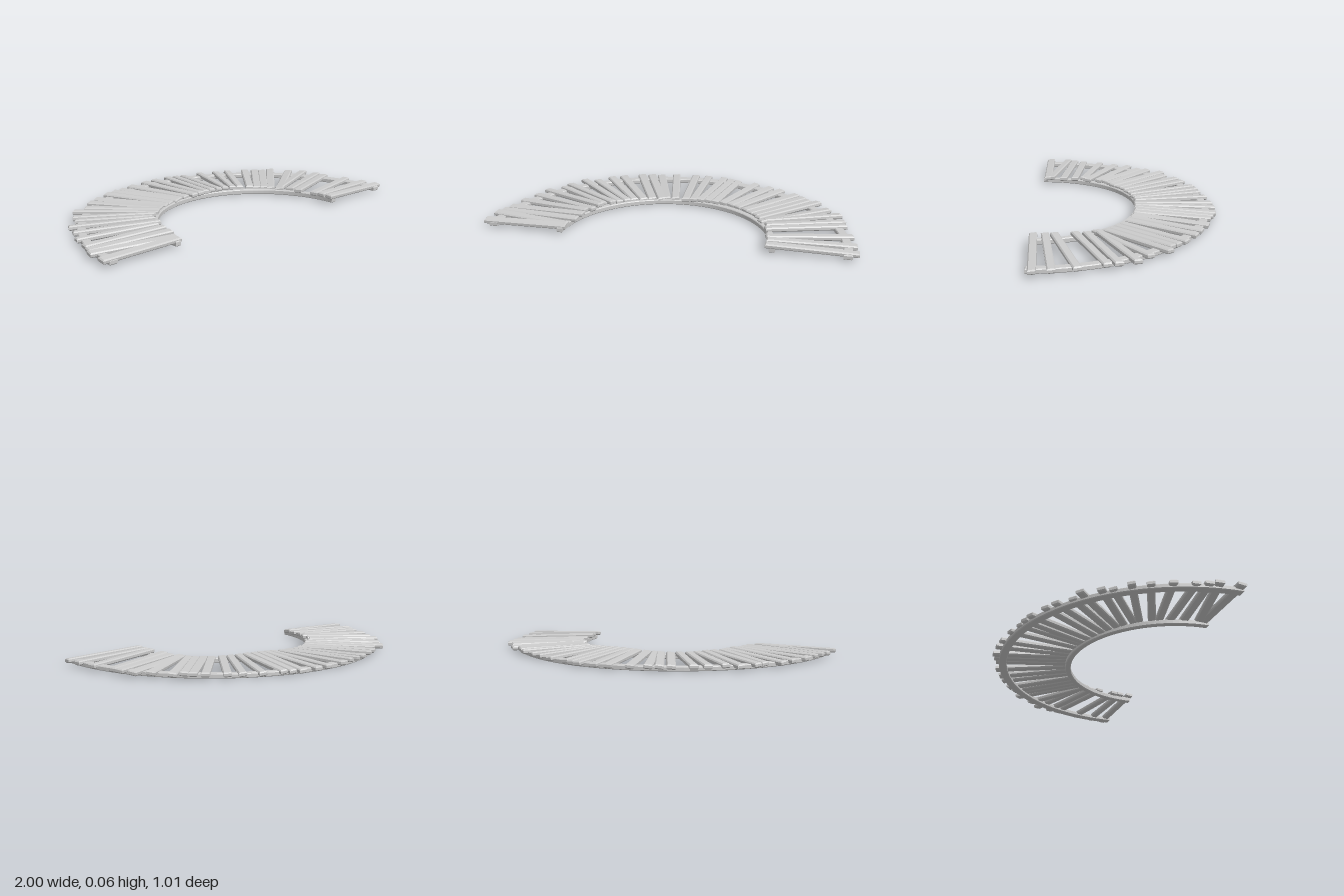
import * as THREE from 'three';

const material = new THREE.MeshStandardMaterial({ color: 0xcccccc, flatShading: true });
const CENTRE_Z = 0.495;

// Plank ends: outer x, z, inner x, z (hundredths of a unit)
const PLANKS = [
  [-100, 47, -54, 46.5], [-99, 35.5, -54, 45], [-97, 31, -51, 37], [-95, 25, -50, 30],
  [-92.5, 14, -50, 24.5], [-88, 4, -46.5, 22], [-85, -5, -45, 15.5], [-77, -11.5, -44, 12.5],
  [-75, -17, -39.5, 9], [-69, -26, -36, 7], [-61, -27, -32.5, 3.5], [-54, -34, -29, 1],
  [-47.5, -37.5, -24, -1], [-37, -42.5, -19.5, -3], [-31, -44, -14, -4], [-25, -45, -11.5, -5],
  [-16, -48, -6.5, -5.5], [-4, -50, -0.5, -5], [4, -50.5, 4, -5], [14, -50, 8, -5],
  [19, -48, 12.5, -5], [23.5, -46, 17, -4], [35, -43.5, 21.5, -3.5], [44.5, -39, 26, -2],
  [51.5, -35.5, 30, 0], [61, -29.5, 35, 3], [65.5, -25, 38, 6], [68.5, -21.5, 41.5, 8.5],
  [74.5, -20, 43.5, 12], [81, -10, 45.5, 17], [88, -3.5, 47.5, 15], [90.5, 5.5, 49.5, 21.5],
  [91.5, 11, 50, 27.5], [96, 25, 52, 38], [98.5, 37, 53, 42.5], [100, 46, 53, 48.5],
];

// Repeatable variation in -1..1
const vary = (i, k) => Math.sin(i * 12.99 + k * 78.2);

// Flat outline raised from y = bottom to y = top, with chamfered edges
function bevelled(shape, bottom, top, bevel) {
  const g = new THREE.ExtrudeGeometry(shape, {
    depth: top - bottom - 2 * bevel, bevelThickness: bevel, bevelSize: bevel,
    bevelOffset: -bevel, bevelSegments: 1, curveSegments: 28,
  });
  return g.rotateX(-Math.PI / 2).translate(0, bottom + bevel, 0);
}

// Half-ring beam, dipping slightly toward the back
function makeRail(name, r0, r1, top) {
  const shape = new THREE.Shape();
  shape.absarc(0, 0, r1, 0, Math.PI, false);
  shape.absarc(0, 0, r0, Math.PI, 0, true);
  shape.closePath();
  const g = bevelled(shape, 0.009, top, 0.004).translate(0, 0, CENTRE_Z);
  const p = g.attributes.position;
  for (let i = 0; i < p.count; i++) p.setY(i, p.getY(i) + 0.01 * p.getZ(i));
  g.computeVertexNormals();
  const mesh = new THREE.Mesh(g, material);
  mesh.name = name;
  return mesh;
}

// Chamfered board laid between its outer and inner end
function makePlank(ends, i) {
  const [ox, oz, ix, iz] = ends.map((v) => v / 100);
  const outer = new THREE.Vector3(ox, 0.032 + 0.01 * oz + 0.003 * vary(i, 1), oz);
  const inner = new THREE.Vector3(ix, 0.041 + 0.01 * iz + 0.006 * vary(i, 2), iz);
  const l = outer.distanceTo(inner) / 2;
  const w = 0.0225 + 0.002 * vary(i, 3);
  const shape = new THREE.Shape([[-l, -w], [l, -w], [l, w], [-l, w]].map(([x, y]) => new THREE.Vector2(x, y)));
  const mesh = new THREE.Mesh(bevelled(shape, -0.0125, 0.0125, 0.006), material);
  mesh.name = 'plank' + (i + 1);

  // Local x runs along the board, with a small roll about it
  const along = outer.clone().sub(inner).normalize();
  const side = along.clone().cross(new THREE.Vector3(0, 1, 0)).normalize();
  const up = side.clone().cross(along);
  mesh.quaternion.setFromRotationMatrix(new THREE.Matrix4().makeBasis(along, up, side));
  mesh.rotateX(0.12 * vary(i, 4));
  mesh.position.copy(outer).add(inner).multiplyScalar(0.5);
  return mesh;
}

export function createModel() {
  const group = new THREE.Group();
  group.name = 'curvedBoardwalk';
  group.add(makeRail('outerRail', 0.922, 0.968, 0.034));
  group.add(makeRail('innerRail', 0.55, 0.582, 0.036));

  const planks = new THREE.Group();
  planks.name = 'planks';
  PLANKS.forEach((ends, i) => planks.add(makePlank(ends, i)));
  group.add(planks);
  return group;
}
